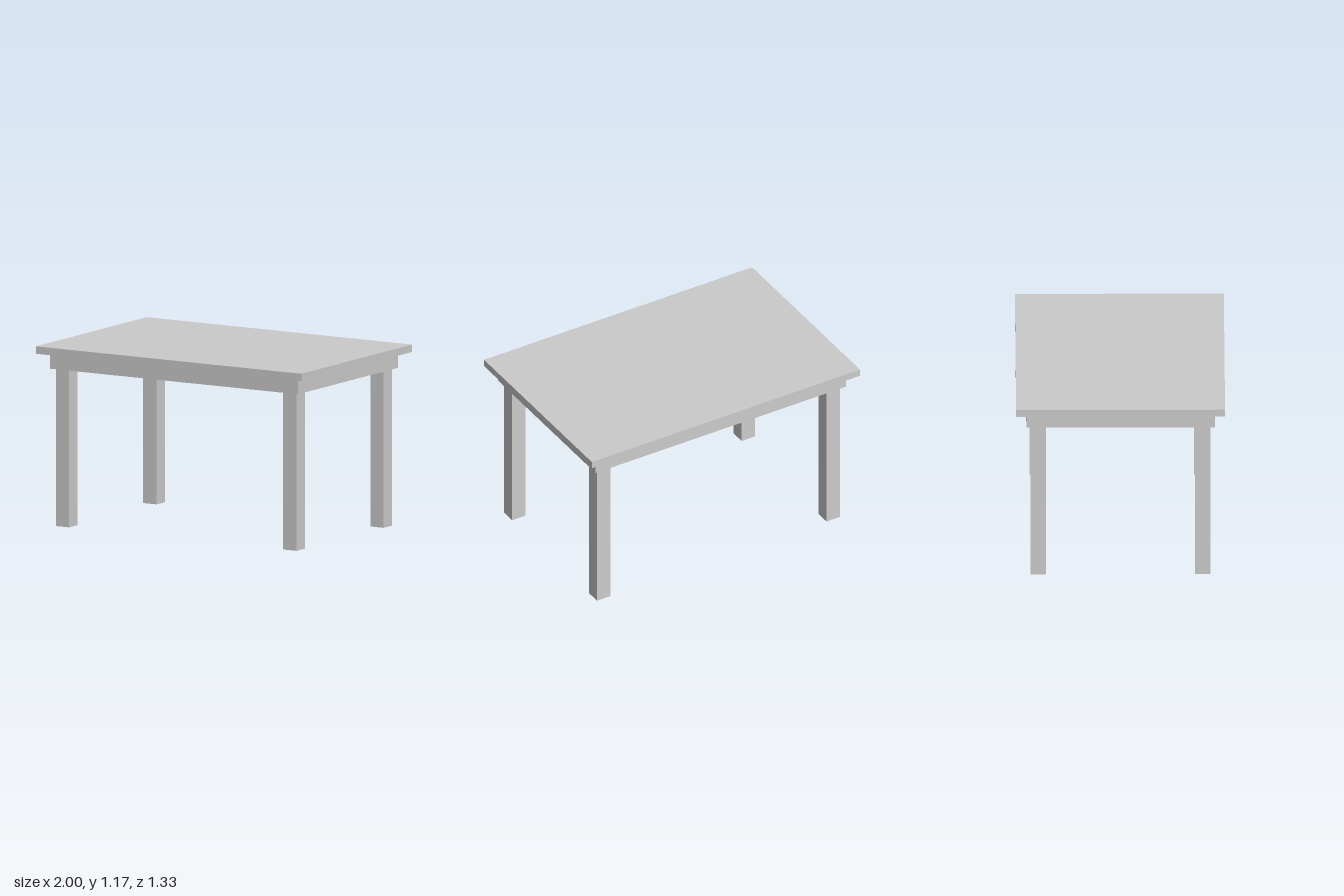
import * as THREE from 'three';

export function createModel() {
  const table = new THREE.Group();
  table.name = 'table';
  const material = new THREE.MeshStandardMaterial({ color: 0xcccccc, flatShading: true });

  // Box standing on height y
  function addBox(name, w, h, d, x, y, z) {
    const mesh = new THREE.Mesh(new THREE.BoxGeometry(w, h, d), material);
    mesh.name = name;
    mesh.position.set(x, y + h / 2, z);
    table.add(mesh);
  }

  const apronBottom = 1.02, topBottom = 1.12;
  const apronX = 0.933, apronZ = 0.602; // outer half sizes of the apron
  const board = 0.027, leg = 0.1;
  const apronHeight = topBottom - apronBottom;

  // Tabletop
  addBox('tabletop', 2, 0.048, 1.334, 0, topBottom, 0);

  for (const s of [1, -1]) {
    // Apron boards: long ones front and back, short ones fitted between them
    addBox(s > 0 ? 'frontApron' : 'backApron',
      2 * apronX, apronHeight, board, 0, apronBottom, s * (apronZ - board / 2));
    addBox(s > 0 ? 'leftApron' : 'rightApron',
      board, apronHeight, 2 * (apronZ - board), s * (apronX - board / 2), apronBottom, 0);

    // Legs, tucked into the apron corners and reaching the tabletop
    for (const t of [1, -1]) {
      addBox((t > 0 ? 'front' : 'back') + (s > 0 ? 'Left' : 'Right') + 'Leg',
        leg, topBottom, leg,
        s * (apronX - board - leg / 2), 0, t * (apronZ - board - leg / 2));
    }
  }
  return table;
}
